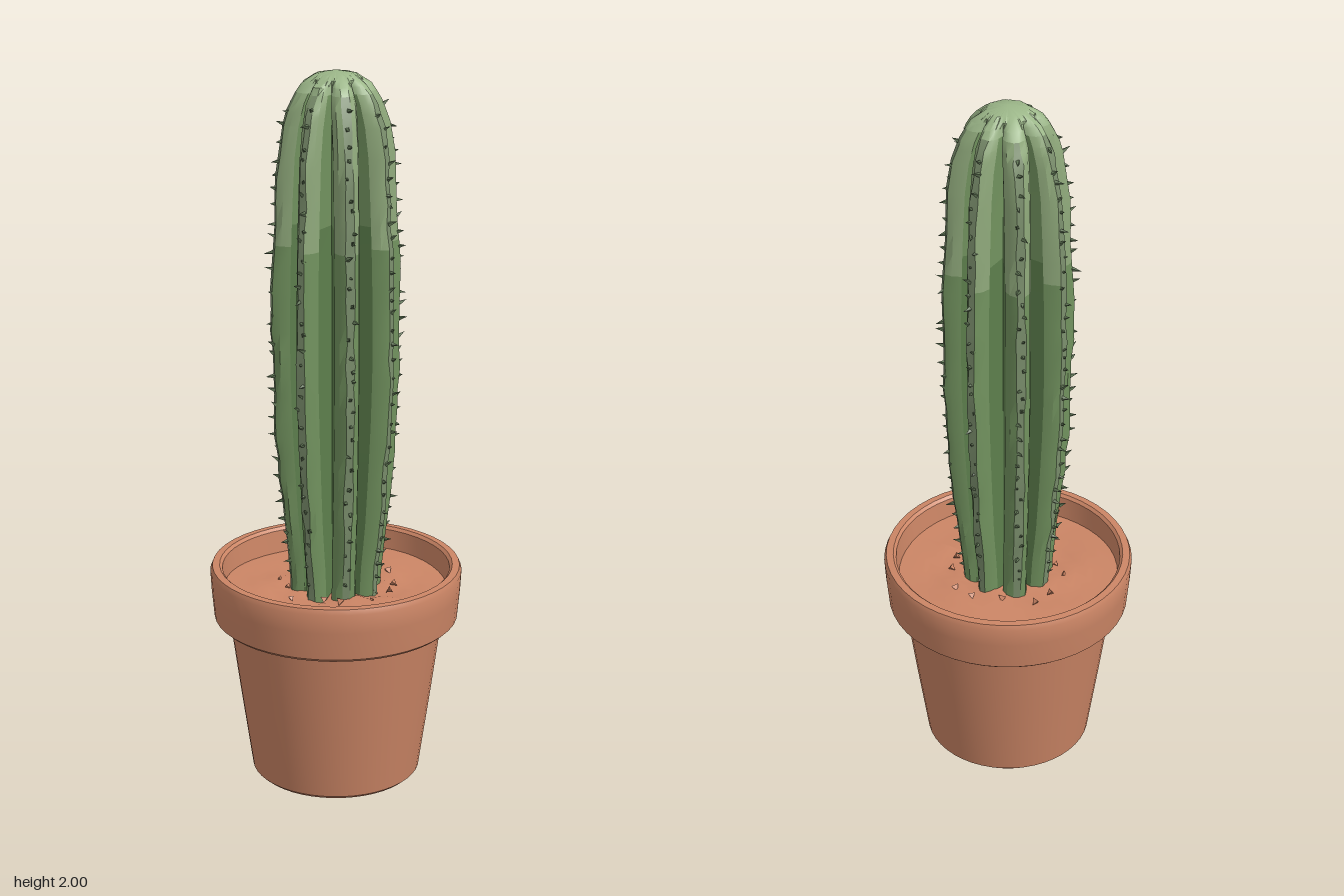
import * as THREE from 'three';
import { toCreasedNormals, mergeGeometries } from 'three/addons/utils/BufferGeometryUtils.js';

const mat = (name, color) => {
  const m = new THREE.MeshStandardMaterial({ color });
  m.name = name;
  return m;
};

// Small seeded generator, -1 to 1
let seed = 7;
const rnd = () => {
  seed = (seed * 16807) % 2147483647;
  return (seed / 2147483647) * 2 - 1;
};

const RIBS = 8;
// Height and radius of the rib crest
const CREST = [
  [0.52, 0.125], [0.62, 0.13], [0.75, 0.148], [0.9, 0.16], [1.05, 0.17], [1.2, 0.176], [1.35, 0.176],
  [1.5, 0.172], [1.65, 0.165], [1.78, 0.156], [1.86, 0.142], [1.92, 0.122], [1.965, 0.092], [1.99, 0.055],
];

function crestRadius(y) {
  let i = 1;
  while (i < CREST.length - 1 && CREST[i][0] < y) i++;
  const [y0, r0] = CREST[i - 1], [y1, r1] = CREST[i];
  return THREE.MathUtils.lerp(r0, r1, (y - y0) / (y1 - y0));
}

// Place a rib-local point (outward u, sideways v) around the stem
const place = (rib, u, v, y) => {
  const a = (rib / RIBS) * Math.PI * 2, c = Math.cos(a), s = Math.sin(a);
  return new THREE.Vector3(u * c - v * s, y, -(u * s + v * c));
};

// One star-shaped ring: valley, flank, shoulder, crest, crest, shoulder, flank per rib
function ring(y) {
  const R = crestRadius(y), k = Math.min(1, R / 0.12), pts = [];
  const valley = 0.066 * Math.min(1, R / 0.07), va = Math.PI / RIBS;
  for (let i = 0; i < RIBS; i++) {
    const w = (i % 2 ? 0.034 : 0.029) * k, u = Math.max(valley, R * 0.76);
    const tip = R + rnd() * 0.004, tw = (0.011 + rnd() * 0.003) * k;
    pts.push(
      place(i, valley * Math.cos(va), -valley * Math.sin(va), y),
      place(i, u, -w, y),
      place(i, R * 0.91, -w * 0.78, y),
      place(i, tip, -tw, y),
      place(i, tip, tw, y),
      place(i, R * 0.91, w * 0.78, y),
      place(i, u, w, y),
    );
  }
  return pts;
}

function triangles(points) {
  const g = new THREE.BufferGeometry().setFromPoints(points);
  return toCreasedNormals(g, 0.6);
}

export function createModel() {
  const root = new THREE.Group();
  root.name = 'pottedCactus';
  const terracotta = mat('terracotta', 0xcb8565);
  const underside = mat('dark underside', 0x1d1f19);
  const deepGreen = mat('valley green', 0x5d7f4d);
  const midGreen = mat('rib green', 0x72935f);
  const paleGreen = mat('pale rib green', 0x8fa97b);
  const crestGreen = mat('crest green', 0x7b8f6d);
  const capGreen = mat('cap green', 0x9bb688);
  const spineGreen = mat('spine green', 0x5f7454);

  const add = (parent, name, geo, material) => {
    const m = new THREE.Mesh(geo, material);
    m.name = name;
    parent.add(m);
    return m;
  };
  const lathe = (pts) => toCreasedNormals(
    new THREE.LatheGeometry(pts.map(([x, y]) => new THREE.Vector2(x, y)), 48), 0.6);

  // Pot
  const pot = new THREE.Group();
  pot.name = 'pot';
  root.add(pot);
  add(pot, 'potBody', lathe([[0.227, 0.002], [0.238, 0.012], [0.27, 0.24], [0.302, 0.48]]), terracotta);
  add(pot, 'potRim', lathe([
    [0.3, 0.463], [0.332, 0.463], [0.342, 0.472], [0.349, 0.55], [0.352, 0.605], [0.346, 0.619],
    [0.326, 0.62], [0.318, 0.612], [0.31, 0.53],
  ]), terracotta);
  add(pot, 'potUnderside', new THREE.CircleGeometry(0.228, 48).rotateX(Math.PI / 2).translate(0, 0.001, 0), underside);

  // Uneven soil, rougher near the stem
  const soil = new THREE.RingGeometry(0.03, 0.316, 32, 7).rotateX(-Math.PI / 2);
  const p = soil.attributes.position;
  for (let i = 0; i < p.count; i++) {
    const x = p.getX(i), z = p.getZ(i), r = Math.hypot(x, z), a = Math.atan2(z, x);
    const near = Math.max(0, 1 - r / 0.3);
    p.setY(i, 0.551 + 0.012 * near * Math.sin(5 * a + r * 40) + 0.004 * Math.sin(3 * a));
  }
  soil.computeVertexNormals();
  add(pot, 'soil', soil, terracotta);

  // Loose chips of soil around the stem
  const chips = [];
  for (let i = 0; i < 14; i++) {
    const a = i * 2.4, r = 0.15 + 0.03 * rnd();
    chips.push(new THREE.TetrahedronGeometry(0.012 + 0.004 * rnd())
      .rotateY(a).translate(r * Math.cos(a), 0.558, r * Math.sin(a)));
  }
  add(pot, 'soilChips', mergeGeometries(chips), terracotta);

  // Ribbed stem: rings joined, faces sorted by colour
  const cactus = new THREE.Group();
  cactus.name = 'cactus';
  root.add(cactus);
  const heights = [];
  for (let y = 0.52; y < 1.84; y += 0.06) heights.push(y);
  heights.push(1.86, 1.895, 1.92, 1.945, 1.965, 1.98, 1.99);
  const rings = heights.map(ring), n = RIBS * 7;
  const faces = { valleys: [], ribFlanks: [], paleFlanks: [], crests: [], cap: [] };
  for (let j = 0; j < rings.length - 1; j++) {
    const lo = rings[j], hi = rings[j + 1], y = heights[j];
    for (let i = 0; i < n; i++) {
      const k = i % 7, next = (i + 1) % n;
      let part = 'valleys';
      if (k === 3) part = 'crests';
      else if (k > 0 && k < 6) part = y > 1.5 ? 'paleFlanks' : 'ribFlanks';
      else if (y > 1.6) part = 'ribFlanks';
      if (y > 1.94) part = 'cap';
      faces[part].push(lo[i], lo[next], hi[next], lo[i], hi[next], hi[i]);
    }
  }
  // Closed crown
  const top = rings[rings.length - 1], peak = new THREE.Vector3(0, 2, 0);
  for (let i = 0; i < n; i++) faces.cap.push(top[i], top[(i + 1) % n], peak);

  const paint = {
    valleys: deepGreen, ribFlanks: midGreen, paleFlanks: paleGreen, crests: crestGreen, cap: capGreen,
  };
  for (const name in faces) add(cactus, name, triangles(faces[name]), paint[name]);

  // Short spines in an uneven row along every crest
  const spines = [], up = new THREE.Vector3(0, 1, 0);
  for (let i = 0; i < RIBS; i++) {
    for (let y = 0.6; y < 1.92; y += 0.042) {
      const sy = y + rnd() * 0.012, len = 0.021 + rnd() * 0.007;
      const dir = place(i, 1, rnd() * 0.6, 0.25 + rnd() * 0.5).normalize();
      const at = place(i, crestRadius(sy) - 0.003, rnd() * 0.01, sy);
      spines.push(new THREE.ConeGeometry(0.007, len, 4).toNonIndexed().translate(0, len / 2, 0)
        .applyQuaternion(new THREE.Quaternion().setFromUnitVectors(up, dir))
        .translate(at.x, at.y, at.z));
    }
  }
  const spineGeo = mergeGeometries(spines);
  spineGeo.computeVertexNormals();
  add(cactus, 'spines', spineGeo, spineGreen);

  return root;
}
